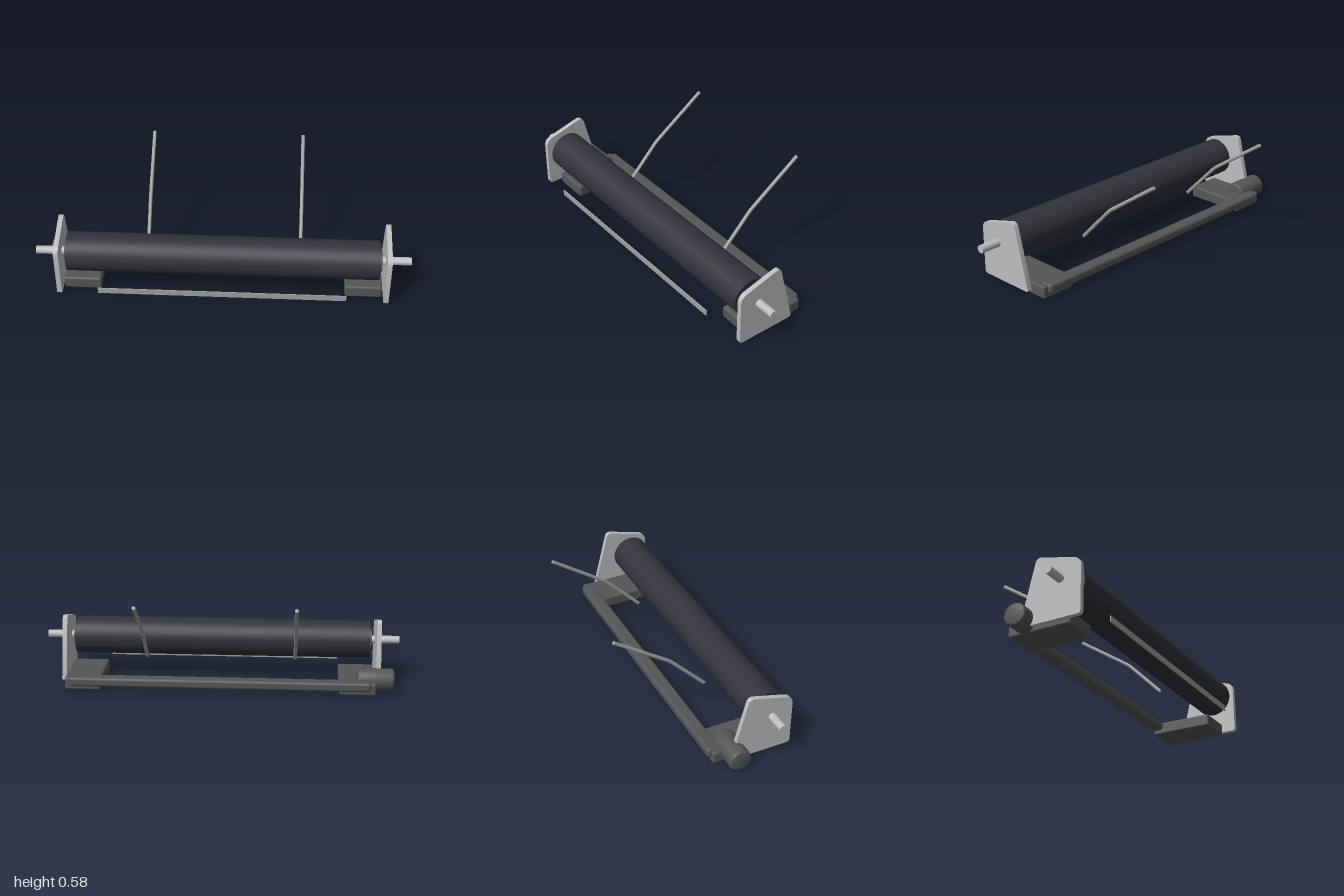
import * as THREE from 'three';
import { toCreasedNormals } from 'three/addons/utils/BufferGeometryUtils.js';
import { RoundedBoxGeometry } from 'three/addons/geometries/RoundedBoxGeometry.js';

const mat = (name, color) => Object.assign(new THREE.MeshStandardMaterial({ color }), { name });

export function createModel() {
  const model = new THREE.Group();
  model.name = 'rollerAssembly';
  const rubber = mat('roller charcoal', 0x32323a);
  const darkGrey = mat('frame dark grey', 0x565656);
  const lightGrey = mat('plate light grey', 0xbcbec0);
  const steel = mat('rod steel', 0xa0a0a0);

  const add = (name, geometry, material, x = 0, y = 0, z = 0, parent = model) => {
    const mesh = new THREE.Mesh(geometry, material);
    mesh.name = name;
    mesh.position.set(x, y, z);
    parent.add(mesh);
    return mesh;
  };

  // cylinder lying along x
  const barX = (radius, length, sides) =>
    new THREE.CylinderGeometry(radius, radius, length, sides).rotateZ(Math.PI / 2);

  // polygon with rounded corners, each corner is [x, y, radius]
  const roundedShape = (corners) => {
    const shape = new THREE.Shape();
    const n = corners.length;
    corners.forEach(([x, y, r], i) => {
      const p = new THREE.Vector2(x, y);
      const toward = ([a, b]) => new THREE.Vector2(a, b).sub(p).setLength(r).add(p);
      const start = toward(corners[(i + n - 1) % n]);
      const end = toward(corners[(i + 1) % n]);
      if (i === 0) shape.moveTo(start.x, start.y);
      else shape.lineTo(start.x, start.y);
      shape.quadraticCurveTo(x, y, end.x, end.y);
    });
    shape.closePath();
    return shape;
  };

  // main roller, its end collars and the axle
  const axleY = 0.23, axleZ = 0.255;
  add('roller', barX(0.105, 1.66, 48), rubber, 0, axleY, axleZ);
  add('rollerCollars', barX(0.06, 1.685, 32), darkGrey, 0, axleY, axleZ);
  add('axle', barX(0.022, 2, 24), lightGrey, 0, axleY, axleZ);

  // side plates, outlined in z and y
  const plate = new THREE.ExtrudeGeometry(roundedShape([
    [0.03, 0.022, 0.018], [0.37, 0.022, 0.018], [0.37, 0.315, 0.04], [0.121, 0.382, 0.03],
  ]), { depth: 0.026, bevelEnabled: false, curveSegments: 8 });
  plate.translate(0, 0, -0.013).rotateY(-Math.PI / 2);
  const plateGeometry = toCreasedNormals(plate, 0.6);

  // rods, bent backward, as short straight runs joined by balls
  const rodPath = [[0.153, 0.118], [0.352, -0.076], [0.367, -0.094], [0.575, -0.398]]
    .map(([y, z]) => new THREE.Vector3(0, y, z));
  const buildRod = (x) => {
    const rod = new THREE.Group();
    rod.name = 'guideRod';
    rod.position.x = x;
    for (let i = 0; i < rodPath.length - 1; i++) {
      const a = rodPath[i], b = rodPath[i + 1];
      const run = add('rodRun', new THREE.CylinderGeometry(0.01, 0.01, a.distanceTo(b), 12), steel, 0, 0, 0, rod);
      run.position.copy(a).lerp(b, 0.5);
      run.quaternion.setFromUnitVectors(new THREE.Vector3(0, 1, 0), b.clone().sub(a).normalize());
      if (i > 0) add('rodBend', new THREE.SphereGeometry(0.01, 12, 8), steel, 0, a.y, a.z, rod);
    }
    model.add(rod);
  };

  // mirrored parts
  for (const side of [-1, 1]) {
    add('sidePlate', plateGeometry, lightGrey, side * 0.875, 0, 0);
    add('foot', new RoundedBoxGeometry(0.2, 0.07, 0.35, 3, 0.012), darkGrey, side * 0.758, 0.035, 0.12);
    buildRod(side * 0.415);
  }

  // rear cross bar joining the feet
  add('rearBar', new RoundedBoxGeometry(1.66, 0.052, 0.075, 4, 0.016), darkGrey, 0, 0.051, -0.036);

  // thin front strip
  add('frontStrip', new THREE.BoxGeometry(1.32, 0.032, 0.006), steel, 0, 0.081, 0.4);

  // motor barrel with softened rims
  const r = 0.061, h = 0.1025, b = 0.014;
  const profile = [new THREE.Vector2(0, -h)];
  for (const end of [-1, 1]) {
    for (let i = 0; i <= 4; i++) {
      const t = (end < 0 ? i - 4 : i) * Math.PI / 8;
      profile.push(new THREE.Vector2(r - b + b * Math.cos(t), end * (h - b) + b * Math.sin(t)));
    }
  }
  profile.push(new THREE.Vector2(0, h));
  add('motor', toCreasedNormals(new THREE.LatheGeometry(profile, 36).rotateZ(Math.PI / 2), 0.6),
    darkGrey, -0.858, 0.064, 0.047);

  return model;
}
